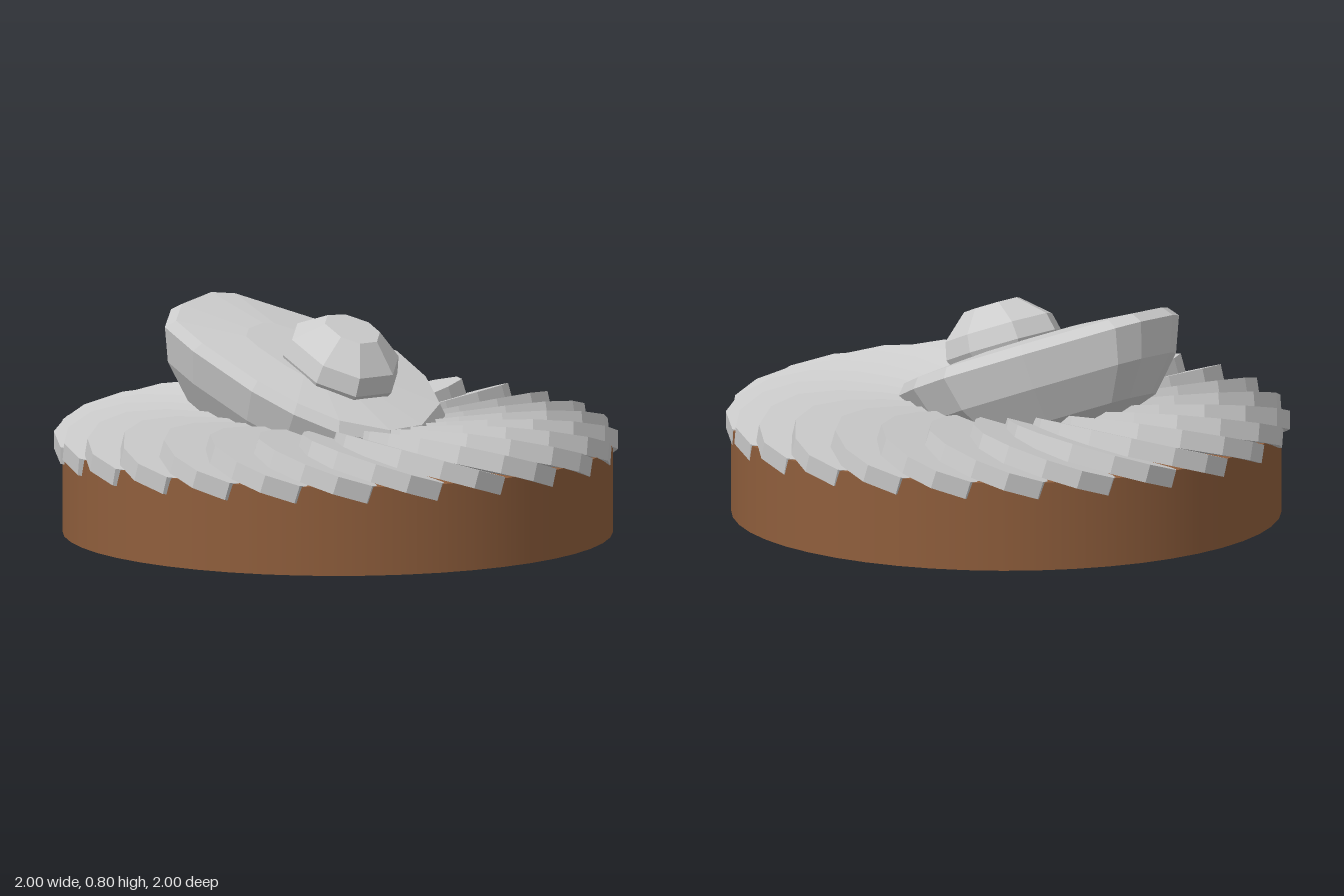
import * as THREE from 'three';

const rad = THREE.MathUtils.degToRad;

// Closed, faceted solid through rings of equal point count, capped at both ends
function loft(rings) {
  const n = rings[0].length;
  const tris = [];
  for (let i = 0; i < rings.length - 1; i++) {
    for (let j = 0; j < n; j++) {
      const k = (j + 1) % n;
      const [a, b, c, d] = [rings[i][j], rings[i][k], rings[i + 1][k], rings[i + 1][j]];
      tris.push([a, b, c], [a, c, d]);
    }
  }
  const last = rings[rings.length - 1];
  for (let j = 1; j < n - 1; j++) {
    tris.push([rings[0][0], rings[0][j + 1], rings[0][j]], [last[0], last[j], last[j + 1]]);
  }
  // Turn the faces outwards
  const cross = new THREE.Vector3();
  let volume = 0;
  for (const [a, b, c] of tris) volume += a.dot(cross.crossVectors(b, c));
  const points = tris.flatMap(([a, b, c]) => (volume < 0 ? [a, c, b] : [a, b, c]));
  const geometry = new THREE.BufferGeometry().setFromPoints(points);
  geometry.computeVertexNormals();
  return geometry;
}

// Tilted plane that the centre piece faces along
const tilt = { c: 0.555, a: 0.295, b: 0.27 };
const normal = new THREE.Vector3(tilt.a, 1, tilt.b).normalize();

// Scaled copy of an [x, z] outline on the tilted plane, lifted along its normal
function tiltedRing(outline, scale, lift) {
  const cx = outline.reduce((s, p) => s + p[0], 0) / outline.length;
  const cz = outline.reduce((s, p) => s + p[1], 0) / outline.length;
  return outline.map(([px, pz]) => {
    const x = cx + (px - cx) * scale;
    const z = cz + (pz - cz) * scale;
    return new THREE.Vector3(x, tilt.c - tilt.a * x - tilt.b * z, z).addScaledVector(normal, lift);
  });
}

// One curved slice, tilted sideways about its own long axis
function sliceGeometry() {
  // [radius, angle] of the raised edge and of the tucked-under edge
  const sections = [
    [[0.25, 2], [0.24, -22]],
    [[0.45, 0], [0.45, -26]],
    [[0.6, -3], [0.6, -29]],
    [[0.75, -8], [0.74, -33]],
    [[0.87, -15], [0.86, -36]],
    [[0.96, -23], [0.94, -39]],
    [[1.0, -30], [0.985, -37]],
  ];
  const slope = 0.31;
  const drop = 0.063;
  const top = ([r, deg]) => {
    const u = r * Math.cos(rad(deg + 30));
    const v = r * Math.sin(rad(deg + 30));
    return new THREE.Vector3(u, 0.447 + slope * (v - 0.28), v);
  };
  const under = (p) => new THREE.Vector3(p.x, p.y - drop, p.z + slope * drop);
  return loft(sections.map(([high, low]) => {
    const h = top(high);
    const l = top(low);
    return [h, l, under(l), under(h)];
  }));
}

export function createModel() {
  const model = new THREE.Group();
  model.name = 'slicedTart';

  const crust = new THREE.MeshStandardMaterial({ color: 0x8f5e3c });
  crust.name = 'crust brown';
  const grey = new THREE.MeshStandardMaterial({ color: 0xcccccc });
  grey.name = 'light grey';

  const add = (parent, name, geometry, material) => {
    const mesh = new THREE.Mesh(geometry, material);
    mesh.name = name;
    parent.add(mesh);
    return mesh;
  };

  // Round base
  const base = add(model, 'base', new THREE.CylinderGeometry(0.976, 0.976, 0.318, 48), crust);
  base.position.set(0.006, 0.159, 0);

  // Ring of overlapping slices
  const slices = new THREE.Group();
  slices.name = 'slices';
  model.add(slices);
  const slice = sliceGeometry();
  const count = 24;
  for (let i = 0; i < count; i++) {
    add(slices, 'slice', slice, grey).rotation.y = -rad(14 + (i * 360) / count);
  }

  // Halved fruit leaning on the slices
  const fruitOutline = [
    [-0.6, -0.05], [-0.58, -0.21], [-0.47, -0.39], [-0.38, -0.44], [-0.05, -0.42],
    [0.23, -0.35], [0.34, -0.2], [0.395, 0], [0.33, 0.23], [0.21, 0.36],
    [0.02, 0.405], [-0.14, 0.36], [-0.29, 0.27], [-0.5, 0.08],
  ];
  const fruitRings = [
    [0.45, 0.035], [0.94, 0.012], [1, -0.025], [0.91, -0.15], [0.7, -0.27], [0.35, -0.33],
  ];
  add(model, 'halvedFruit', loft(fruitRings.map(([s, l]) => tiltedRing(fruitOutline, s, l))), grey);

  // Faceted stone in the fruit
  const stoneOutline = [
    [-0.05, -0.21], [0.12, -0.19], [0.205, -0.08], [0.185, 0.1],
    [0.06, 0.22], [-0.08, 0.2], [-0.2, 0.05], [-0.18, -0.11],
  ];
  const stoneRings = [[0.9, 0], [1, 0.045], [0.93, 0.11], [0.48, 0.195]];
  add(model, 'stone', loft(stoneRings.map(([s, l]) => tiltedRing(stoneOutline, s, l))), grey);

  return model;
}
